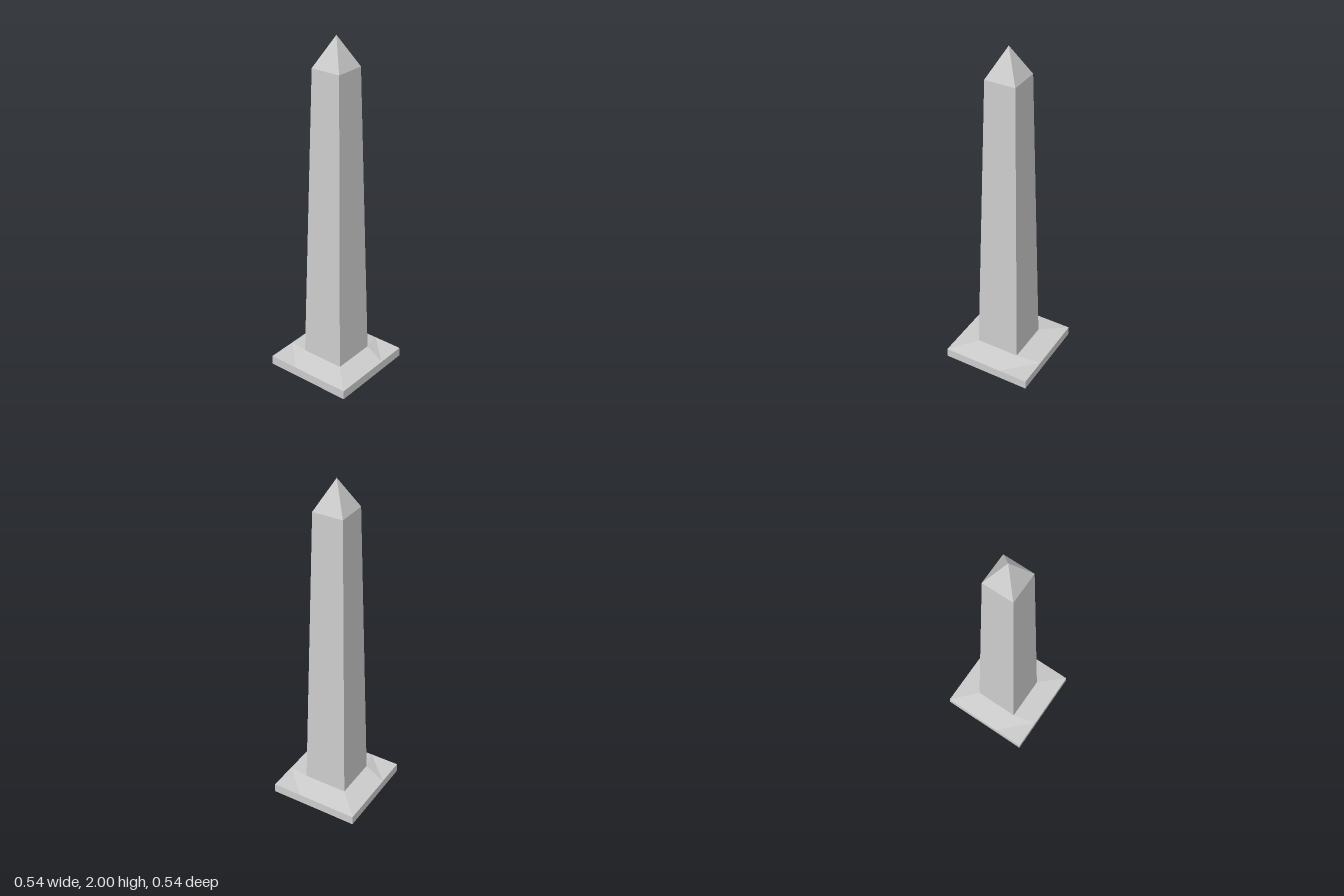
import * as THREE from 'three';

const OUTER = 0.269;  // half width of the plinth
const INNER = 0.132;  // half width of the shaft foot
const TIP = 0.09;     // half width of the shaft head
const CUT = 0.09;     // where the levelled corners start along the plinth edge
const RIM_Y = 0.055, FOOT_Y = 0.082, HEAD_Y = 1.828, APEX_Y = 2;

const material = new THREE.MeshStandardMaterial({
  color: 0xcccccc, flatShading: true, side: THREE.DoubleSide,
});

// Open square tube between two heights, given half widths
function squareTube(name, bottom, top, y0, y1) {
  const geometry = new THREE.CylinderGeometry(top * Math.SQRT2, bottom * Math.SQRT2, y1 - y0, 4, 1, true);
  geometry.rotateY(Math.PI / 4);
  geometry.translate(0, (y0 + y1) / 2, 0);
  const mesh = new THREE.Mesh(geometry, material);
  mesh.name = name;
  return mesh;
}

// Half of the sloped plinth top: back slope, left slope and one levelled corner
function slopeHalf() {
  const rim = (x, z) => [x, RIM_Y, z];
  const foot = (x, z) => [x, FOOT_Y, z];
  const corner = rim(-OUTER, -OUTER);
  const cutBack = rim(-CUT, -OUTER), cutLeft = rim(-OUTER, -CUT);
  const backRight = rim(OUTER, -OUTER), frontLeft = rim(-OUTER, OUTER);
  const footCorner = foot(-INNER, -INNER);
  const footRight = foot(INNER, -INNER), footFront = foot(-INNER, INNER);
  const triangles = [
    cutBack, footCorner, footRight, cutBack, footRight, backRight, // back slope
    cutLeft, frontLeft, footFront, cutLeft, footFront, footCorner, // left slope
    cutBack, cutLeft, footCorner,                                  // corner facet
    corner, cutLeft, cutBack,                                      // level corner
  ];
  const geometry = new THREE.BufferGeometry();
  geometry.setAttribute('position', new THREE.Float32BufferAttribute(triangles.flat(), 3));
  geometry.computeVertexNormals();
  return geometry;
}

export function createModel() {
  const model = new THREE.Group();
  model.name = 'obelisk';

  // Hollow plinth: side walls and a sloped top with half-turn symmetry
  const plinth = new THREE.Group();
  plinth.name = 'plinth';
  plinth.add(squareTube('plinthWalls', OUTER, OUTER, 0, RIM_Y));
  const half = slopeHalf();
  ['plinthTopBack', 'plinthTopFront'].forEach((name, i) => {
    const slope = new THREE.Mesh(half, material);
    slope.name = name;
    slope.rotation.y = i * Math.PI;
    plinth.add(slope);
  });
  model.add(plinth);

  // Tapered shaft, open below
  model.add(squareTube('shaft', INNER, TIP, FOOT_Y, HEAD_Y));

  // Pyramid cap
  model.add(squareTube('pyramidCap', TIP, 0, HEAD_Y, APEX_Y));

  return model;
}
